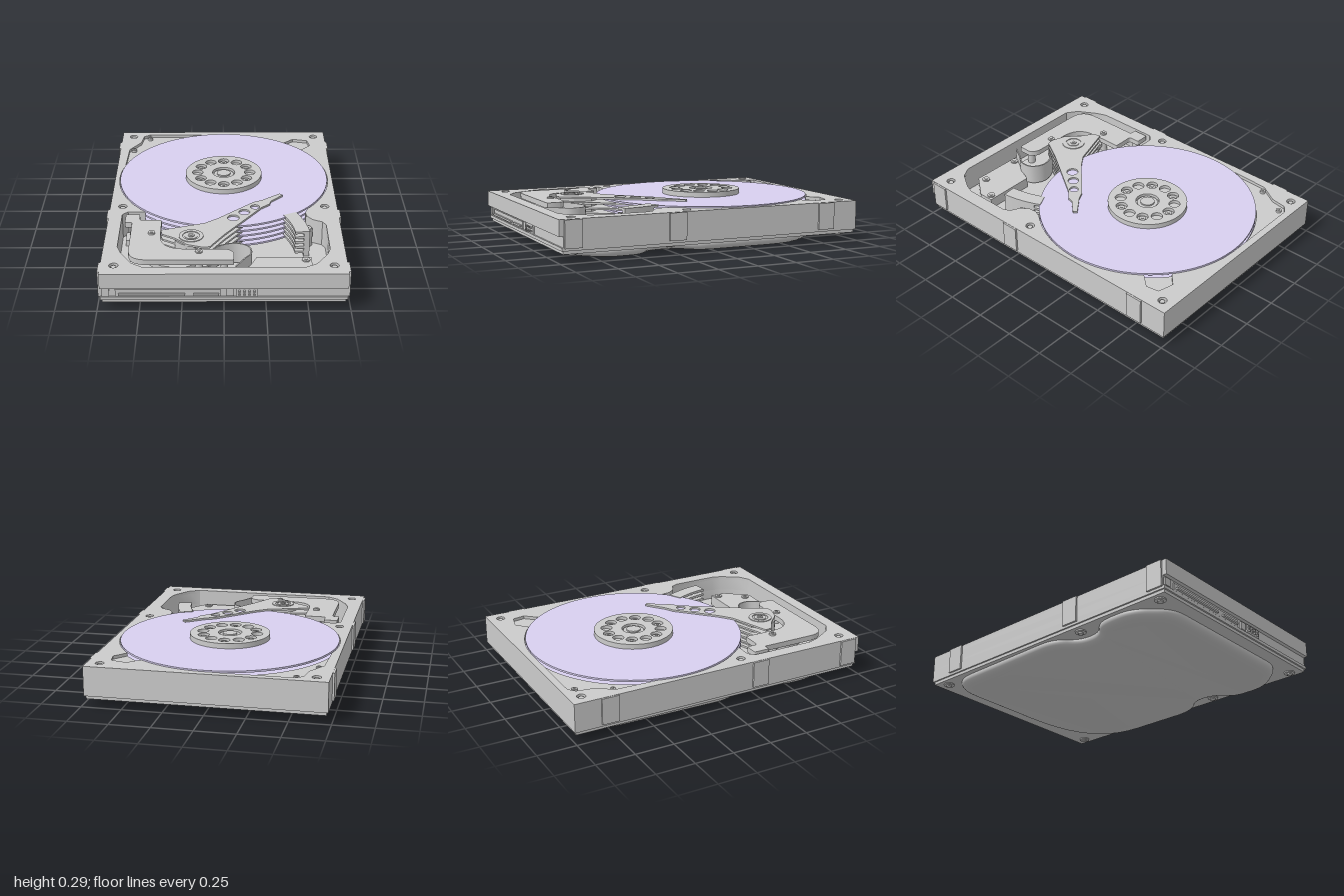
import * as THREE from 'three';
import { toCreasedNormals } from 'three/addons/utils/BufferGeometryUtils.js';

const grey = new THREE.MeshStandardMaterial({ color: 0xcccccc });
const lavender = new THREE.MeshStandardMaterial({ color: 0xd8d0f0 });
const SPINDLE = [0, -0.255], PIVOT = [-0.2, 0.585];

export function createModel() {
  const root = new THREE.Group();

  const add = (name, geometry, x = 0, y = 0, z = 0, material = grey) => {
    const mesh = new THREE.Mesh(geometry, material);
    mesh.name = name;
    mesh.position.set(x, y, z);
    root.add(mesh);
    return mesh;
  };
  const box = (name, x0, x1, y0, y1, z0, z1) =>
    add(name, new THREE.BoxGeometry(x1 - x0, y1 - y0, z1 - z0), (x0 + x1) / 2, (y0 + y1) / 2, (z0 + z1) / 2);
  const disc = (name, x, z, r, y0, y1, material = grey, sides = 32) =>
    add(name, new THREE.CylinderGeometry(r, r, y1 - y0, sides), x, (y0 + y1) / 2, z, material);
  // Extrudes a plan outline (x, z) between two heights
  const slab = (name, shape, y0, y1, options = {}) => {
    const g = new THREE.ExtrudeGeometry(shape, { depth: y1 - y0, bevelEnabled: false, curveSegments: 32, ...options });
    g.rotateX(Math.PI / 2);
    return add(name, toCreasedNormals(g, 0.5), 0, y1, 0);
  };
  const circle = (x, z, r) => new THREE.Path().absarc(x, z, r, 0, Math.PI * 2, true);
  const outline = (pts) => new THREE.Shape(pts.map(([x, z]) => new THREE.Vector2(x, z)));
  // Polygon whose corners [x, z, radius] are rounded
  const rounded = (pts) => {
    const s = new THREE.Shape(), n = pts.length;
    pts.forEach(([x, z, r = 0.03], i) => {
      const p = new THREE.Vector2(x, z);
      const toward = ([a, b]) => {
        const d = new THREE.Vector2(a, b).sub(p);
        return p.clone().add(d.setLength(Math.min(r, d.length() * 0.49)));
      };
      const a = toward(pts[(i + n - 1) % n]), b = toward(pts[(i + 1) % n]);
      if (i) s.lineTo(a.x, a.y); else s.moveTo(a.x, a.y);
      s.quadraticCurveTo(x, z, b.x, b.y);
    });
    s.closePath();
    return s;
  };
  const screw = (x, z, y, r = 0.022) => {
    disc('screwHead', x, z, r, y - 0.01, y + 0.006, grey, 20);
    disc('screwSocket', x, z, r * 0.5, y, y + 0.01, grey, 6);
  };

  // Cavity: disc well plus front chamber; the top layer adds two shallow pockets
  const cavity = (pockets) => {
    const p = new THREE.Path(), [cx, cz] = SPINDLE, r = 0.7;
    p.moveTo(-0.5, 0.235);
    [[-0.61, 0.235], [-0.645, 0.27], [-0.645, 0.68], [-0.62, 0.75], [-0.55, 0.87], [-0.48, 0.92], [0.48, 0.92],
      [0.55, 0.88], [0.62, 0.77], [0.64, 0.71], [0.64, 0.41], [0.62, 0.37], [0.56, 0.34], [0.525, 0.29], [0.52, 0.24], [0.54, 0.19]]
      .forEach(([x, z]) => p.lineTo(x, z));
    if (pockets) {
      p.absarc(cx, cz, r, 0.69, -0.674, true);
      [[0.615, -0.77], [0.6, -0.85], [0.5, -0.875], [0.43, -0.81]].forEach(([x, z]) => p.lineTo(x, z));
      p.absarc(cx, cz, r, -0.912, -Math.PI / 2, true);
      [[-0.53, -0.955], [-0.575, -0.92], [-0.59, -0.82], [-0.665, -0.7], [-0.675, -0.45]].forEach(([x, z]) => p.lineTo(x, z));
      p.absarc(cx, cz, r, -2.86, -3.917, true);
    } else p.absarc(cx, cz, r, 0.69, -3.917, true);
    return p;
  };
  const frame = (zFront, pockets, drilled) => {
    const s = outline([[-0.73, -1], [0.73, -1], [0.73, zFront], [-0.73, zFront]]);
    s.holes.push(cavity(pockets));
    if (drilled) for (const x of [-0.65, 0.65]) for (const z of [-0.92, 0.16, 0.9]) s.holes.push(circle(x, z, 0.027));
    return s;
  };

  // Casing walls and floor
  slab('casingRim', frame(1, true, true), 0.235, 0.255);
  slab('casingWall', frame(1, false, true), 0.155, 0.235);
  slab('casingLowerWall', frame(0.975, false, false), 0.09, 0.155);
  box('casingFloor', -0.73, 0.73, 0.07, 0.09, -1, 0.985);
  box('casingBase', -0.72, 0.72, 0.05, 0.07, -0.99, 0.975);
  for (const x of [-0.65, 0.65]) {
    for (const z of [-0.92, 0.16, 0.9]) {
      disc('mountingScrew', x, z, 0.016, 0.15, 0.247, grey, 16);
    }
    for (const z of [-0.91, 0.28, 0.9]) {
      disc('underScrewBoss', x * 1.02, z, 0.035, 0.042, 0.06, grey, 20);
      disc('underScrew', x * 1.02, z, 0.018, 0.034, 0.05, grey, 12);
    }
  }
  for (const s of [-1, 1]) {
    for (const [z0, z1] of [[-0.83, -0.72], [0.2, 0.31], [0.86, 0.97]]) {
      const a = s * 0.725, b = s * 0.742;
      box('sidePad', Math.min(a, b), Math.max(a, b), 0.085, 0.253, z0, z1);
    }
  }

  // Domed underside cover
  slab('bottomCover', rounded([[-0.68, -0.87, 0.2], [0.7, -0.87, 0.65], [0.7, 0.08, 0.12], [0.58, 0.2, 0.08], [0.58, 0.36, 0.08],
    [0.69, 0.45, 0.1], [0.69, 0.7, 0.1], [0.52, 0.89, 0.1], [-0.52, 0.89, 0.1], [-0.69, 0.7, 0.1], [-0.69, 0.45, 0.1],
    [-0.58, 0.36, 0.08], [-0.58, 0.2, 0.08], [-0.7, 0.08, 0.12]]), 0.042, 0.044,
  { bevelEnabled: true, bevelThickness: 0.042, bevelSize: 0.06, bevelOffset: -0.06, bevelSegments: 6, curveSegments: 10 });

  // Front connectors
  box('connectorBlock', -0.72, -0.675, 0.095, 0.145, 0.95, 0.985);
  box('connectorBlock', 0.015, 0.058, 0.095, 0.145, 0.95, 0.985);
  box('connectorHousing', -0.64, -0.02, 0.093, 0.14, 0.95, 0.982);
  box('dataTongue', -0.62, -0.23, 0.104, 0.116, 0.97, 0.995);
  box('powerTongue', -0.18, -0.03, 0.104, 0.116, 0.97, 0.995);
  box('pinHousing', 0.07, 0.2, 0.092, 0.148, 0.95, 0.985);
  for (let i = 0; i < 4; i++) for (const y of [0.108, 0.131]) {
    box('pin', 0.086 + i * 0.029, 0.096 + i * 0.029, y - 0.005, y + 0.005, 0.97, 0.997);
  }

  // Disc stack on its spindle
  const [sx, sz] = SPINDLE, pitch = 0.034;
  for (let i = 0; i < 5; i++) disc('platter', sx, sz, 0.695, 0.25 - i * pitch, 0.262 - i * pitch, lavender, 128);
  disc('spindle', sx, sz, 0.25, 0.09, 0.274, grey, 64);
  const clamp = new THREE.Shape().absarc(sx, sz, 0.255, 0, Math.PI * 2);
  clamp.holes.push(circle(sx, sz, 0.075));
  for (let i = 0; i < 12; i++) {
    const a = i * Math.PI / 6, x = sx + Math.cos(a) * 0.175, z = sz + Math.sin(a) * 0.175;
    clamp.holes.push(circle(x, z, 0.036));
    if (i % 2) screw(x, z, 0.278);
  }
  slab('spindleClamp', clamp, 0.262, 0.295);
  disc('spindleCap', sx, sz, 0.066, 0.26, 0.284, grey, 40);
  disc('spindleTip', sx, sz, 0.045, 0.27, 0.293, grey, 40);

  // Head arms, one for each gap in the stack
  const [px, pz] = PIVOT;
  const arm = outline([[0.365, 0.02], [0.385, 0.04], [0.305, 0.125], [0.295, 0.165], [0.24, 0.215], [0.0, 0.57], [-0.085, 0.715],
    [-0.13, 0.72], [-0.22, 0.69], [-0.3, 0.61], [-0.38, 0.56], [-0.39, 0.51], [-0.12, 0.42], [-0.04, 0.36], [0.19, 0.14], [0.25, 0.11]]);
  for (const [x, z, r] of [[0.06, 0.35, 0.037], [0.13, 0.275, 0.035], [0.2, 0.205, 0.029]]) arm.holes.push(circle(x, z, r));
  for (let i = 0; i < 6; i++) slab('headArm', arm, 0.263 - i * pitch, 0.275 - i * pitch);
  disc('pivotHub', px, pz, 0.1, 0.09, 0.265);
  slab('armBlock', outline([[-0.25, 0.49], [-0.1, 0.45], [-0.04, 0.51], [-0.07, 0.62], [-0.14, 0.69]]), 0.1, 0.265);
  const ring = new THREE.Shape().absarc(px, pz, 0.075, 0, Math.PI * 2);
  ring.holes.push(circle(px, pz, 0.052));
  slab('pivotRing', ring, 0.27, 0.28);
  disc('pivotCap', px, pz, 0.04, 0.27, 0.279);
  screw(px, pz, 0.278, 0.02);

  // Magnet plates around the voice coil
  const magnet = rounded([[-0.62, 0.28, 0.01], [-0.53, 0.28, 0.01], [-0.53, 0.355, 0.02], [-0.39, 0.355, 0.01], [-0.39, 0.715, 0.16],
    [0.02, 0.715, 0.03], [0.06, 0.75, 0.02], [0.06, 0.845, 0.01], [-0.575, 0.845, 0.12], [-0.575, 0.385, 0.01], [-0.62, 0.385, 0.01]]);
  slab('upperMagnetPlate', magnet, 0.225, 0.26);
  slab('lowerMagnetPlate', magnet, 0.09, 0.13);
  for (const [x, z] of [[-0.57, 0.33], [-0.45, 0.53], [-0.15, 0.75], [0.0, 0.8]]) disc('magnetPost', x, z, 0.025, 0.1, 0.25);
  screw(-0.445, 0.525, 0.265);
  screw(-0.15, 0.75, 0.262);
  const coil = rounded([[-0.36, 0.5], [-0.52, 0.56, 0.08], [-0.46, 0.78, 0.12], [-0.22, 0.83, 0.08], [-0.13, 0.7]]);
  slab('voiceCoil', coil, 0.165, 0.19);

  // Circuit plate with its curved ribbon cable
  slab('circuitPlate', outline([[0.2, 0.645], [0.535, 0.645], [0.535, 0.745], [0.42, 0.89], [0.05, 0.885], [0.16, 0.74]]), 0.09, 0.16);
  for (const [x, z] of [[0.5, 0.68], [0.395, 0.84], [0.115, 0.855]]) screw(x, z, 0.162, 0.025);
  const path = new THREE.SplineCurve([[-0.1, 0.72], [-0.03, 0.635], [0.07, 0.6], [0.15, 0.64], [0.165, 0.72], [0.12, 0.79], [0.07, 0.875]]
    .map(([x, z]) => new THREE.Vector2(x, z)));
  const side = (d) => Array.from({ length: 33 }, (_, i) => {
    const p = path.getPoint(i / 32), t = path.getTangent(i / 32);
    return [p.x - t.y * d, p.y + t.x * d];
  });
  slab('ribbonCable', outline([...side(0.004), ...side(-0.004).reverse()]), 0.1, 0.235);

  // Head parking ramp: a comb of arc strips with a fixing post
  const arc = (r0, r1, a0, a1) => new THREE.Shape().absarc(px, pz, r1, a0, a1).absarc(px, pz, r0, a1, a0, true);
  for (let i = 0; i < 5; i++) slab('rampTooth', arc(0.645, 0.735, -0.46, -0.1), 0.25 - i * pitch, 0.266 - i * pitch);
  slab('rampBack', arc(0.7, 0.735, -0.4, -0.1), 0.09, 0.26);
  disc('rampPost', 0.52, 0.36, 0.04, 0.09, 0.2);
  screw(0.525, 0.36, 0.204, 0.028);

  // Pocket screws in the back corner
  screw(-0.53, -0.91, 0.245, 0.018);
  screw(-0.635, -0.71, 0.245, 0.018);

  return root;
}
